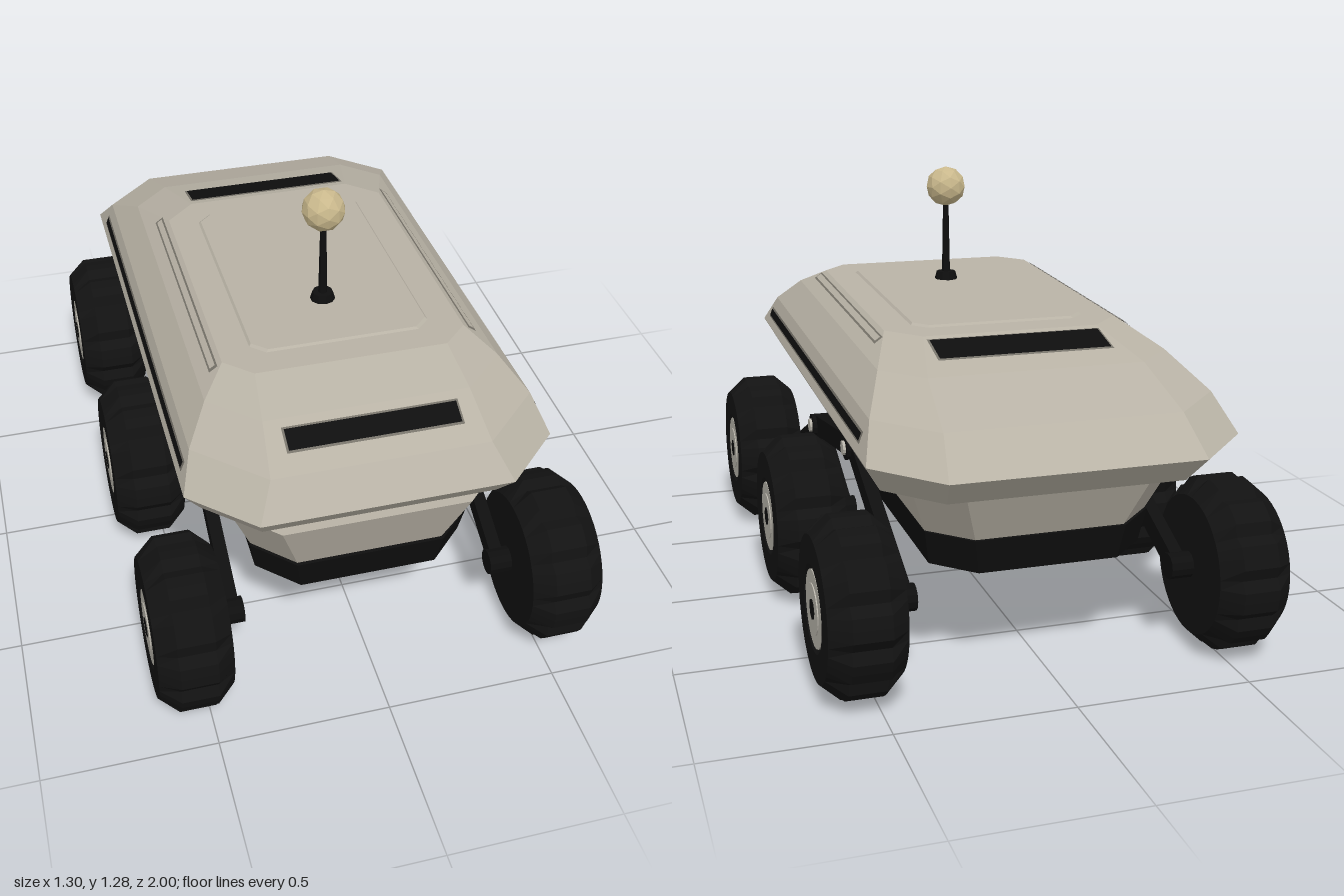
import * as THREE from 'three';

const mat = (name, color, extra = {}) => {
  const m = new THREE.MeshStandardMaterial({ color, ...extra });
  m.name = name;
  return m;
};

export function createModel() {
  const flat = { flatShading: true };
  const both = { flatShading: true, side: THREE.DoubleSide };
  const body = mat('warm grey body', 0xb8b2a5, flat);
  const panel = mat('warm grey panel', 0xb8b2a5, both);
  const seam = mat('seam grey', 0x77736a, both);
  const black = mat('black trim', 0x0e0e0e, both);
  const rubber = mat('tyre rubber', 0x121212, flat);
  const metal = mat('hub metal', 0xb9b5ab, flat);
  const tan = mat('sensor tan', 0xc9b88c, flat);

  const model = new THREE.Group();
  const add = (name, geo, material, parent = model) => {
    const m = new THREE.Mesh(geo, material);
    m.name = name;
    parent.add(m);
    return m;
  };

  // Octagonal ring: [half width, y, front z, rear z, front chamfer, rear chamfer]
  const ring = ([w, y, f, r, cf, cr], slope) => [
    [w - cf, f], [w, f - cf], [w, r + cr], [w - cr, r],
    [cr - w, r], [-w, r + cr], [-w, f - cf], [cf - w, f],
  ].map(([x, z]) => [x, y + slope * z, z]);

  // Stack rings from bottom to top and cap both ends
  const loft = (specs, slope = 0) => {
    const rings = specs.map((s) => ring(s, slope));
    const pos = [];
    const tri = (...p) => p.forEach((q) => pos.push(...q));
    for (let k = 0; k + 1 < rings.length; k++) {
      const a = rings[k], b = rings[k + 1];
      for (let i = 0; i < 8; i++) {
        const j = (i + 1) % 8;
        tri(a[i], a[j], b[j]);
        tri(a[i], b[j], b[i]);
      }
    }
    const lo = rings[0], hi = rings[rings.length - 1];
    for (let i = 1; i < 7; i++) {
      tri(lo[0], lo[i + 1], lo[i]);
      tri(hi[0], hi[i], hi[i + 1]);
    }
    const g = new THREE.BufferGeometry();
    g.setAttribute('position', new THREE.Float32BufferAttribute(pos, 3));
    g.computeVertexNormals();
    return g;
  };

  // Upper shell, tilted slightly nose-up
  const SLOPE = 0.036;
  add('upperShell', loft([
    [0.47, 0.602, 0.85, -0.91, 0.14, 0.14],
    [0.52, 0.688, 0.925, -1.0, 0.17, 0.17],
    [0.485, 0.78, 0.85, -0.88, 0.18, 0.155],
    [0.42, 0.858, 0.70, -0.66, 0.13, 0.11],
    [0.35, 0.909, 0.55, -0.43, 0.075, 0.09],
  ], SLOPE), body);
  add('deckPanel', loft([
    [0.265, 0.905, 0.465, -0.345, 0.04, 0.04],
    [0.255, 0.915, 0.455, -0.335, 0.04, 0.04],
  ], SLOPE), body);

  // Lower hull and belly pan
  add('lowerHull', loft([
    [0.32, 0.40, 0.765, -0.77, 0.11, 0.11],
    [0.39, 0.59, 0.835, -0.865, 0.12, 0.12],
  ]), body);
  add('bellyPan', loft([
    [0.31, 0.31, 0.76, -0.765, 0.11, 0.11],
    [0.325, 0.41, 0.78, -0.785, 0.11, 0.11],
  ]), black);

  // Thin strip on a shell face, between fractions t0..t1 from its lower to its upper edge
  const strip = (name, material, lo, hi, t0, t1, axis, from, to, out) => {
    const at = (t, v) => {
      const p = new THREE.Vector3(...lo).lerp(new THREE.Vector3(...hi), t);
      p.setComponent(axis, v);
      p.y += SLOPE * p.z;
      return p;
    };
    const c = [at(t0, from), at(t0, to), at(t1, to), at(t1, from)];
    const n = c[1].clone().sub(c[0]).cross(c[3].clone().sub(c[0])).normalize();
    if (n.y < 0) {
      n.negate();
      c.reverse();
    }
    c.forEach((p) => p.addScaledVector(n, out));
    const g = new THREE.BufferGeometry().setFromPoints([c[0], c[1], c[2], c[0], c[2], c[3]]);
    g.computeVertexNormals();
    add(name, g, material);
  };
  // Dark slot with a slim frame
  const slot = (name, lo, hi, t0, t1, axis, from, to, e, et) => {
    strip(name + 'Frame', seam, lo, hi, t0 - et, t1 + et, axis, from - e, to + e, 0.002);
    strip(name, black, lo, hi, t0, t1, axis, from, to, 0.004);
  };
  slot('frontSlot', [0, 0.78, 0.85], [0, 0.858, 0.70], 0.42, 0.80, 0, -0.24, 0.24, 0.006, 0.04);
  slot('rearSlot', [0, 0.858, -0.66], [0, 0.909, -0.43], 0.40, 0.87, 0, -0.25, 0.25, 0.006, 0.03);
  for (const s of [1, -1]) {
    slot('sideSlot', [s * 0.52, 0.688, 0], [s * 0.485, 0.78, 0], 0.33, 0.56, 2, -0.71, 0.67, 0.008, 0.06);
    const lo = [s * 0.42, 0.858, 0], hi = [s * 0.35, 0.909, 0];
    strip('shoulderSeam', seam, lo, hi, 0.48, 0.82, 2, -0.38, 0.48, 0.002);
    strip('shoulderPanel', panel, lo, hi, 0.55, 0.76, 2, -0.37, 0.47, 0.004);
  }

  // Antenna with faceted sensor ball
  const mast = new THREE.Group();
  mast.name = 'antenna';
  mast.position.set(0, 0, 0.24);
  model.add(mast);
  add('antennaBase', new THREE.CylinderGeometry(0.03, 0.04, 0.035, 10), black, mast).position.y = 0.93;
  add('antennaMast', new THREE.CylinderGeometry(0.009, 0.014, 0.26, 8), black, mast).position.y = 1.05;
  add('sensorBall', new THREE.IcosahedronGeometry(0.063, 1), tan, mast).position.y = 1.223;

  // Cylinder lying along x, from x0 to x1
  const rod = (name, r, x0, x1, y, z, material, parent = model, sides = 12) => {
    const g = new THREE.CylinderGeometry(r, r, Math.abs(x1 - x0), sides).rotateZ(-Math.PI / 2);
    add(name, g, material, parent).position.set((x0 + x1) / 2, y, z);
  };

  // Wheel: lathed tyre whose outer rows alternate between lug and gap
  const tyre = new THREE.LatheGeometry([
    [0, -0.107], [0.2, -0.107], [0.248, -0.055], [0.248, 0.05], [0.2, 0.105],
    [0.12, 0.105], [0.107, 0.096], [0, 0.096],
  ].map((p) => new THREE.Vector2(...p)), 48);
  const p = tyre.attributes.position;
  for (let i = 0; i < p.count; i++) {
    const x = p.getX(i), z = p.getZ(i);
    const step = Math.round((Math.atan2(x, z) / (Math.PI * 2)) * 48 + 48) % 4;
    if (Math.hypot(x, z) > 0.21 && step === 3) {
      p.setX(i, x * 0.925);
      p.setZ(i, z * 0.925);
    }
  }
  tyre.rotateZ(-Math.PI / 2);
  const WHEEL_Z = [0.75, 0.01, -0.73];

  // Suspension arm between two [z, y] points
  const arm = (name, x, [z0, y0], [z1, y1], h) => {
    const g = new THREE.BoxGeometry(0.038, h, Math.hypot(z1 - z0, y1 - y0));
    const m = add(name, g, black);
    m.position.set(x, (y0 + y1) / 2, (z0 + z1) / 2);
    m.rotation.x = -Math.atan2(y1 - y0, z1 - z0);
  };
  const bogie = [0.38, 0.42], rocker = [-0.15, 0.50];

  for (const s of [1, -1]) {
    for (const z of WHEEL_Z) {
      const wheel = new THREE.Group();
      wheel.name = 'wheel';
      wheel.position.set(s * 0.543, 0.249, z);
      if (s < 0) wheel.rotation.y = Math.PI;
      model.add(wheel);
      add('tyre', tyre, rubber, wheel);
      rod('hub', 0.107, 0.08, 0.103, 0, 0, metal, wheel, 24);
      rod('hubCap', 0.07, 0.09, 0.106, 0, 0, metal, wheel, 24);
      rod('hubBolt', 0.029, 0.1, 0.108, 0, 0, black, wheel, 8);
      rod('axleJoint', 0.038, s * 0.37, s * 0.44, 0.25, z, black);
    }
    // Rocker and bogie linkage
    arm('bogieFrontArm', s * 0.40, [0.75, 0.25], bogie, 0.05);
    arm('bogieRearArm', s * 0.40, bogie, [0.01, 0.25], 0.05);
    arm('rockerFrontArm', s * 0.40, bogie, rocker, 0.065);
    arm('rockerRearArm', s * 0.40, rocker, [-0.73, 0.25], 0.06);
    for (const [z, y] of [bogie, rocker]) {
      rod('pivotJoint', 0.038, s * 0.37, s * 0.432, y, z, black);
      rod('pivotAxle', 0.018, s * 0.28, s * 0.40, y, z, black);
      rod('pivotBolt', 0.022, s * 0.425, s * 0.44, y, z, metal);
    }
  }
  return model;
}
